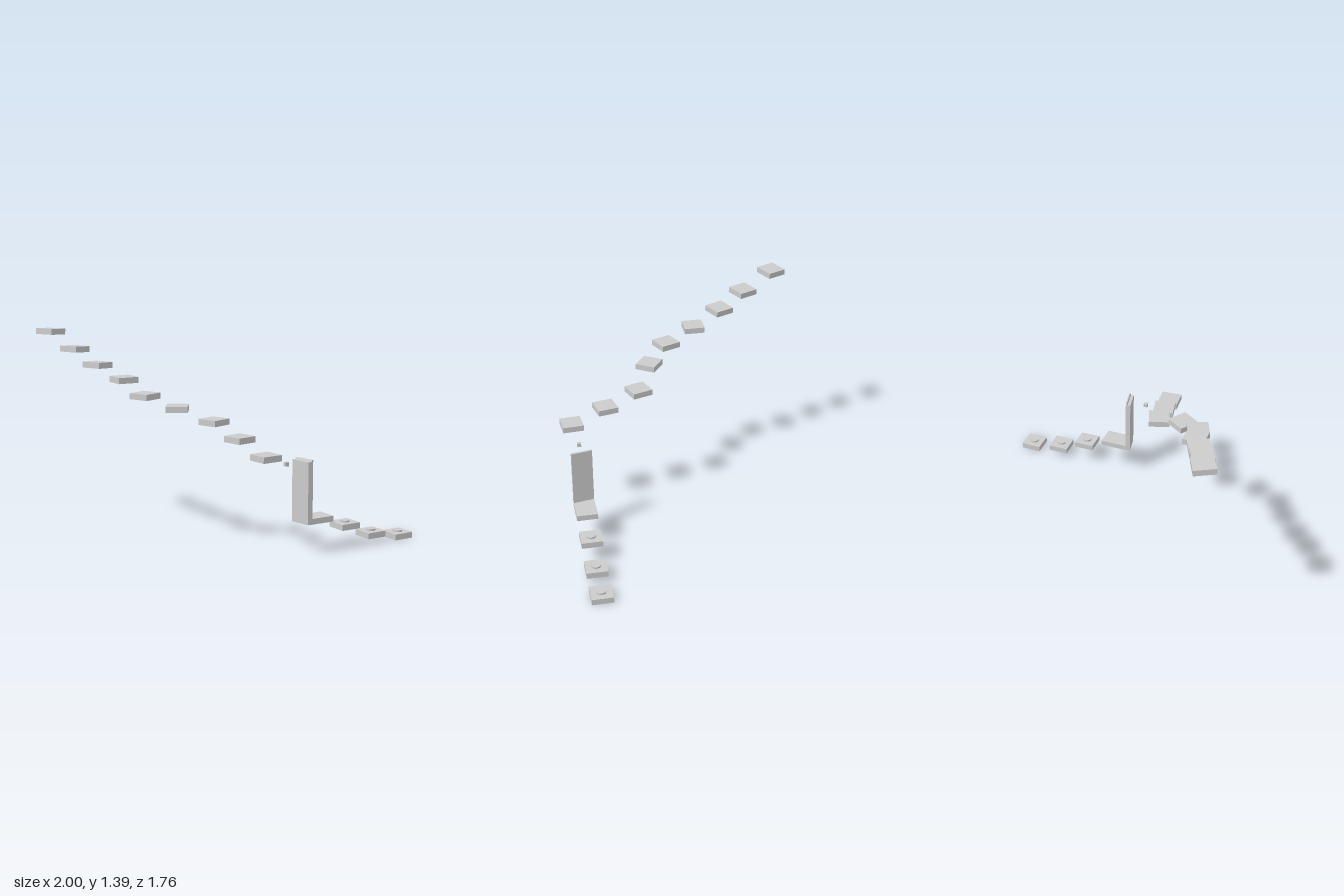
import * as THREE from 'three';

const grey = new THREE.MeshStandardMaterial({ color: 0xcccccc, flatShading: true });
const SIZE = 0.143, THICK = 0.04, ROW_Z = 0.777;

function addMesh(parent, name, geometry, x, y, z) {
  const mesh = new THREE.Mesh(geometry, grey);
  mesh.name = name;
  mesh.position.set(x, y, z);
  parent.add(mesh);
  return mesh;
}

export function createModel() {
  const model = new THREE.Group();
  model.name = 'floatingSteps';
  const slab = new THREE.BoxGeometry(SIZE, THICK, SIZE);
  const button = new THREE.CylinderGeometry(0.032, 0.032, 0.014, 24);

  // Lower steps, each with a round button: x, bottom y
  [[0.927, 0], [0.696, 0.039], [0.479, 0.125]].forEach(([x, y], i) => {
    const step = new THREE.Group();
    step.name = `buttonStep${i + 1}`;
    step.position.set(x, y, ROW_Z);
    addMesh(step, 'slab', slab, 0, THICK / 2, 0);
    addMesh(step, 'button', button, 0, THICK + 0.005, 0);
    model.add(step);
  });

  // Landing at the foot of the wall
  addMesh(model, 'landing', new THREE.BoxGeometry(0.195, 0.038, SIZE), 0.2325, 0.218, ROW_Z);

  // Slightly turned wall with a raised lip along its far edge
  const profile = new THREE.Shape([
    [-0.018, 0.2], [0.018, 0.2], [0.018, 0.622], [0.01, 0.622], [0.004, 0.61], [-0.018, 0.61],
  ].map(([x, y]) => new THREE.Vector2(x, y)));
  const wall = new THREE.ExtrudeGeometry(profile, { depth: SIZE, bevelEnabled: false });
  wall.translate(0, 0, -SIZE / 2);
  // Shear so that the ends stay flush with the landing
  const p = wall.attributes.position;
  for (let i = 0; i < p.count; i++) p.setX(i, p.getX(i) + p.getZ(i) * 0.18);
  wall.computeVertexNormals();
  addMesh(model, 'wall', wall, 0.133, 0, ROW_Z);

  // Small cube between the wall and the upper steps
  addMesh(model, 'smallCube', new THREE.BoxGeometry(0.026, 0.026, 0.026), 0.005, 0.6, 0.776);

  // Upper steps: x, y, z, turn, tilt
  [
    [-0.168, 0.663, 0.803, 0.07, 0],
    [-0.208, 0.748, 0.56, 0.2, 0],
    [-0.254, 0.831, 0.319, 0.32, 0],
    [-0.463, 0.921, 0.205, -0.6, 0],
    [-0.617, 0.996, 0.053, 0.39, 0],
    [-0.665, 1.085, -0.155, -0.01, 0],
    [-0.753, 1.167, -0.367, 0.43, -0.05],
    [-0.83, 1.262, -0.56, 0.44, -0.05],
    [-0.905, 1.368, -0.79, 0.44, -0.05],
  ].forEach(([x, y, z, turn, tilt], i) => {
    addMesh(model, `upperStep${i + 1}`, slab, x, y, z).rotation.set(0, turn, tilt, 'YXZ');
  });

  return model;
}
